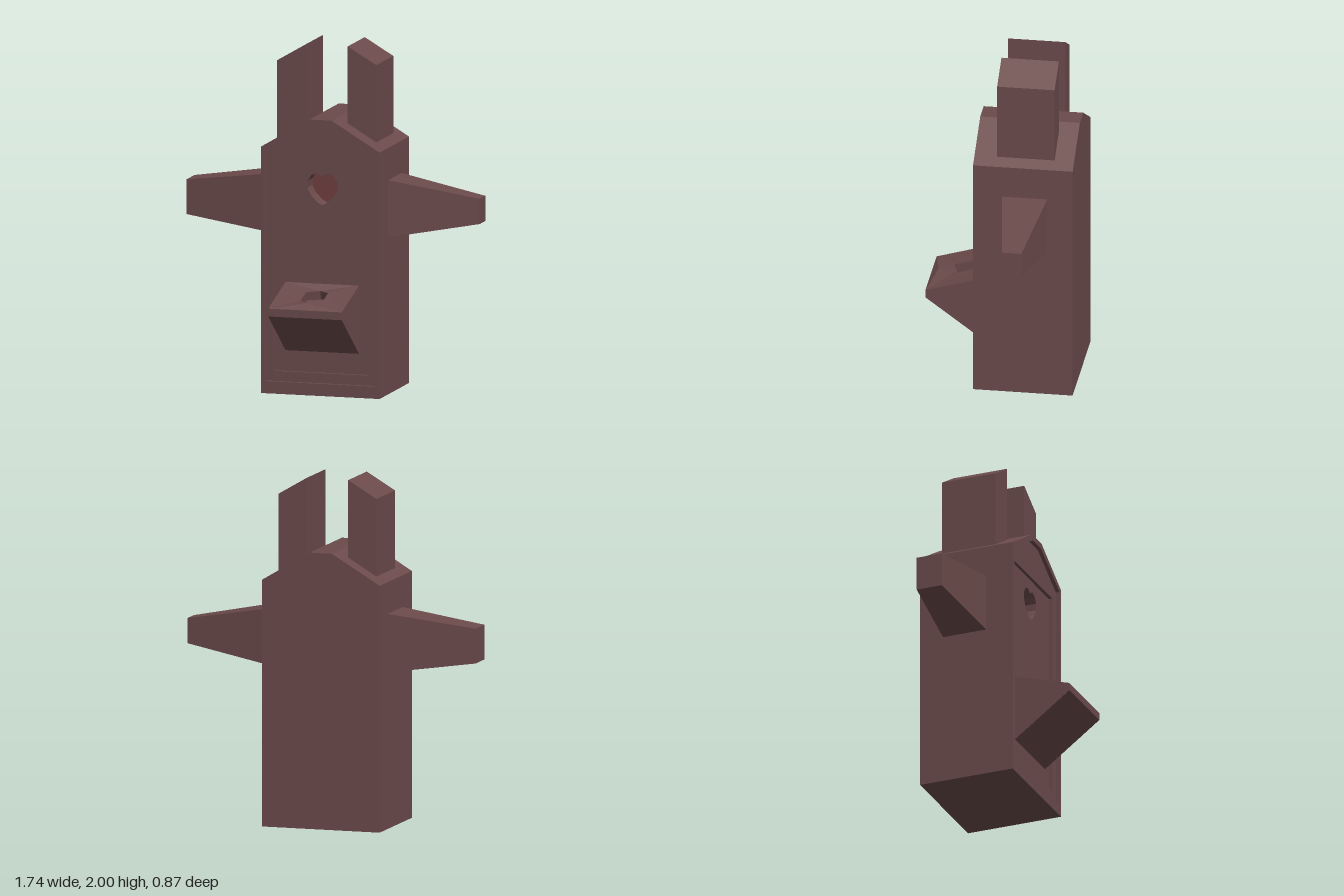
import * as THREE from 'three';

const V = (x, y, z) => new THREE.Vector3(x, y, z);
const wood = new THREE.MeshStandardMaterial({ color: 0x6b4a4a, flatShading: true });
const red = new THREE.MeshStandardMaterial({ color: 0x703f3f, flatShading: true });

// Place a 2D outline at depth z
const at = (outline, z) => outline.map(([x, y]) => V(x, y, z));

// Wall between two matching rings; outward when b lies ahead of a, inward when swapped
function wall(a, b) {
  return a.flatMap((p, i) => {
    const j = (i + 1) % a.length;
    return [p, a[j], b[j], p, b[j], b[i]];
  });
}

// Flat or slightly bent face with optional holes, facing +z or +y
function cap(ring, holes = [], up = false) {
  const flat = (r) => r.map((p) => new THREE.Vector2(p.x, up ? -p.z : p.y));
  const all = [ring, ...holes].flat();
  return THREE.ShapeUtils.triangulateShape(flat(ring), holes.map(flat)).flatMap((f) => f.map((i) => all[i]));
}

function mesh(name, points, material = wood) {
  const g = new THREE.BufferGeometry().setFromPoints(points);
  g.computeVertexNormals();
  const m = new THREE.Mesh(g, material);
  m.name = name;
  return m;
}

// Box whose corners are moved by a rule
function shapedBox(name, rule) {
  const g = new THREE.BoxGeometry(2, 2, 2).toNonIndexed();
  const p = g.attributes.position;
  for (let i = 0; i < p.count; i++) p.setXYZ(i, ...rule(p.getX(i), p.getY(i), p.getZ(i)));
  g.computeVertexNormals();
  const m = new THREE.Mesh(g, wood);
  m.name = name;
  return m;
}

export function createModel() {
  const group = new THREE.Group();

  // Cabin body with a stepped front and a heart-shaped opening
  const gable = [[-0.36, 0], [0.345, 0], [0.345, 1.42], [0.06, 1.59], [-0.073, 1.59], [-0.36, 1.42]];
  const frame = [[-0.338, 0.07], [0.323, 0.07], [0.323, 1.4], [0.055, 1.553], [-0.07, 1.553], [-0.338, 1.4]];
  const door = [[-0.285, 0.128], [0.27, 0.128], [0.27, 1.34], [-0.285, 1.34]];
  const lobe = [[0.03, 1.108], [0.07, 1.15], [0.09, 1.19], [0.088, 1.23], [0.065, 1.265], [0.03, 1.275]];
  const heart = [[0, 1.092], ...lobe, [0, 1.255], ...lobe.map(([x, y]) => [-x, y]).reverse()]
    .map(([x, y]) => [x - 0.007, y]);
  const back = -0.43, front = 0.142, step = 0.12, panel = 0.1, deep = 0;
  group.add(mesh('body', [
    ...wall(at(gable, back), at(gable, front)),
    ...cap(at(gable, back)).reverse(),
    ...cap(at(gable, front), [at(frame, front)]),
    ...wall(at(frame, front), at(frame, step)),
    ...cap(at(frame, step), [at(door, step)]),
    ...wall(at(door, step), at(door, panel)),
    ...cap(at(door, panel), [at(heart, panel)]),
    ...wall(at(heart, panel), at(heart, deep)),
  ]));
  group.add(mesh('heartWindow', cap(at(heart, deep)), red));

  // Wedge shelf with a six-sided well in its sloping top
  const [l, r, zb, zf] = [-0.227, 0.21, 0.1, 0.435];
  const ring = (yf, yb) => [V(l, yf, zf), V(r, yf, zf), V(r, yb, zb), V(l, yb, zb)];
  const top = ring(0.54, 0.64), bottom = ring(0.495, 0.247);
  const hex = [[-0.008, 0.39], [0.057, 0.31], [0.057, 0.2], [-0.008, 0.14], [-0.073, 0.2], [-0.073, 0.31]];
  const rim = hex.map(([x, z]) => V(x, z > 0.25 ? 0.575 : 0.605, z));
  const floor = rim.map((p) => V(p.x, p.y - 0.05, p.z - 0.015));
  group.add(mesh('shelf', [
    ...wall(bottom, top),
    ...cap(bottom, [], true).reverse(),
    ...cap(top, [rim], true),
    ...wall(rim, floor),
    ...cap(floor, [], true),
  ]));

  // Upright ears with slanted tops, higher on the inner side
  for (const [name, inner, outer] of [['leftEar', 0.116, 0.286], ['rightEar', -0.133, -0.303]]) {
    const s = Math.sign(outer);
    group.add(shapedBox(name, (x, y, z) => {
      const out = x * s > 0;
      return [out ? outer : inner, y > 0 ? (out ? 1.9 : 2) : (out ? 1.44 : 1.53), z > 0 ? 0.012 : -0.318];
    }));
  }

  // Tapered arms: each end lists x, low y, high y, back z, front z
  const arms = {
    leftArm: [[0.34, 0.903, 1.235, -0.285, -0.025], [0.866, 0.995, 1.14, -0.212, -0.1]],
    rightArm: [[-0.355, 0.9, 1.238, -0.288, -0.022], [-0.87, 0.97, 1.17, -0.235, -0.08]],
  };
  for (const [name, [base, tip]] of Object.entries(arms)) {
    const s = Math.sign(tip[0]);
    group.add(shapedBox(name, (x, y, z) => {
      const e = x * s > 0 ? tip : base;
      return [e[0], y > 0 ? e[2] : e[1], z > 0 ? e[4] : e[3]];
    }));
  }
  return group;
}
